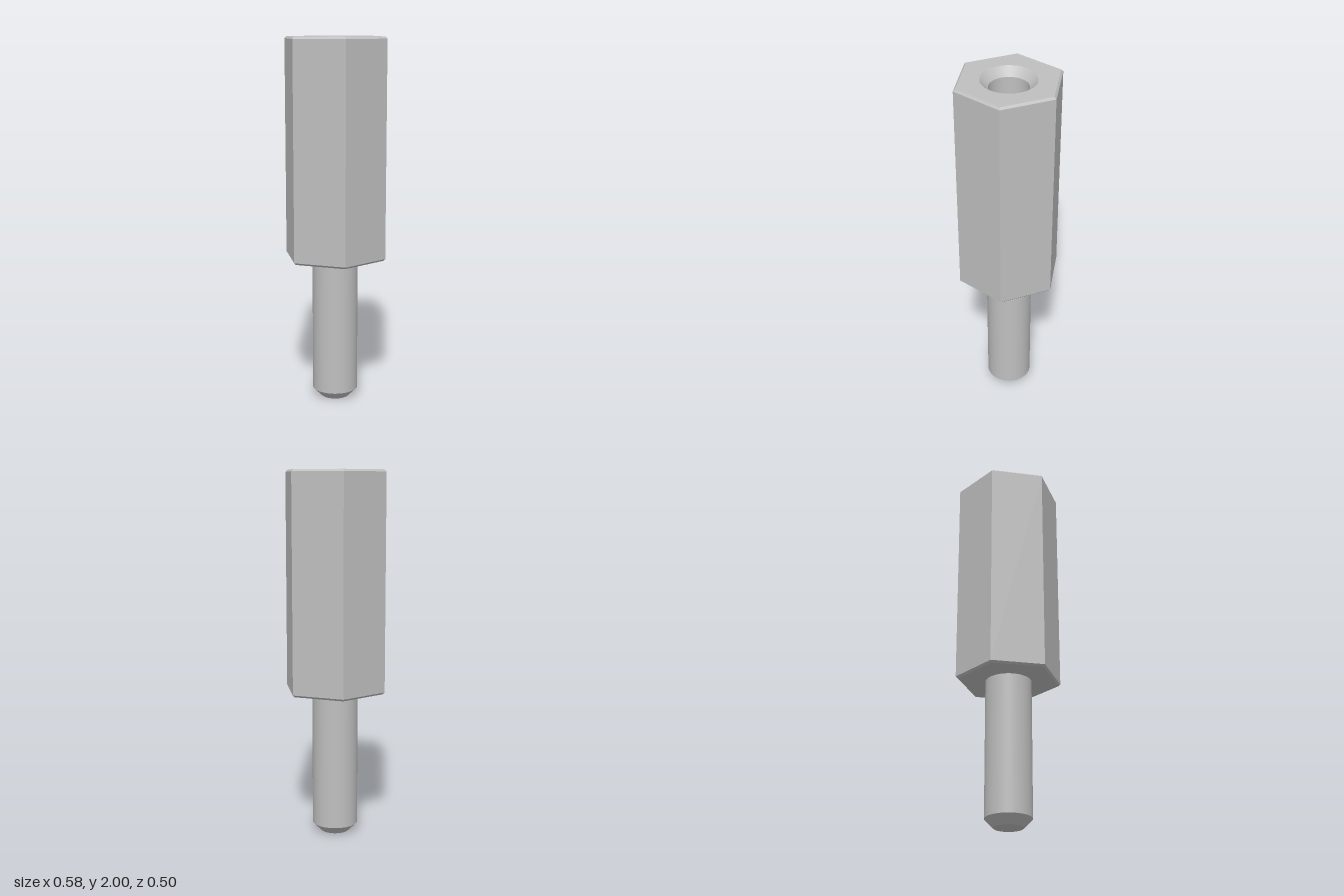
import * as THREE from 'three';
import { mergeGeometries } from 'three/addons/utils/BufferGeometryUtils.js';

const HEX_R = 0.2887, HEX_TOP_R = 0.277;   // corner radius, and at the bevelled ends
const HEX_Y0 = 0.8, HEX_Y1 = 2, BEVEL = 0.011;
const STUD_R = 0.125, BORE_R = 0.1025, SINK_R = 0.145, BORE_FLOOR = 1.2;

// Revolves a profile of [radius, y] points, keeping every profile corner sharp.
// Profiles running upwards face outwards, downwards face inwards.
function revolve(points) {
  const bands = [];
  for (let i = 0; i + 1 < points.length; i++) {
    const pair = [points[i], points[i + 1]].map(([r, y]) => new THREE.Vector2(r, y));
    bands.push(new THREE.LatheGeometry(pair, 64));
  }
  return mergeGeometries(bands);
}

// Flat-sided hexagonal band with corners on the x axis.
function hexBand(rBottom, rTop, y0, y1) {
  const g = new THREE.CylinderGeometry(rTop, rBottom, y1 - y0, 6, 1, true, Math.PI / 2)
    .translate(0, (y0 + y1) / 2, 0).toNonIndexed();
  g.computeVertexNormals();
  return g;
}

// Hexagonal end face with a round hole, facing up (1) or down (-1).
function hexFace(radius, holeR, y, facing) {
  const corners = [];
  for (let i = 0; i < 6; i++) {
    const a = i * Math.PI / 3;
    corners.push(new THREE.Vector2(radius * Math.cos(a), radius * Math.sin(a)));
  }
  const shape = new THREE.Shape(corners);
  shape.holes.push(new THREE.Path().absarc(0, 0, holeR, 0, Math.PI * 2, true));
  return new THREE.ShapeGeometry(shape, 64)
    .rotateX(-facing * Math.PI / 2).translate(0, y, 0).toNonIndexed();
}

export function createModel() {
  const group = new THREE.Group();
  group.name = 'hexStandoff';
  const steel = new THREE.MeshStandardMaterial({ color: 0xbfbfbf });
  steel.name = 'steelGrey';

  const add = (name, geometry) => {
    const mesh = new THREE.Mesh(geometry, steel);
    mesh.name = name;
    group.add(mesh);
  };

  // Hexagonal body with bevelled ends
  add('hexBody', mergeGeometries([
    hexBand(HEX_TOP_R, HEX_R, HEX_Y0, HEX_Y0 + BEVEL),
    hexBand(HEX_R, HEX_R, HEX_Y0 + BEVEL, HEX_Y1 - BEVEL),
    hexBand(HEX_R, HEX_TOP_R, HEX_Y1 - BEVEL, HEX_Y1),
    hexFace(HEX_TOP_R, SINK_R, HEX_Y1, 1),
    hexFace(HEX_TOP_R, STUD_R, HEX_Y0, -1),
  ]));

  // Countersunk blind hole in the top
  add('bore', revolve([
    [SINK_R, HEX_Y1], [BORE_R, HEX_Y1 - (SINK_R - BORE_R)], [BORE_R, BORE_FLOOR], [0, BORE_FLOOR],
  ]));

  // Round stud with a chamfered tip
  add('stud', revolve([[0, 0], [0.078, 0], [STUD_R, 0.047], [STUD_R, HEX_Y0]]));

  return group;
}
